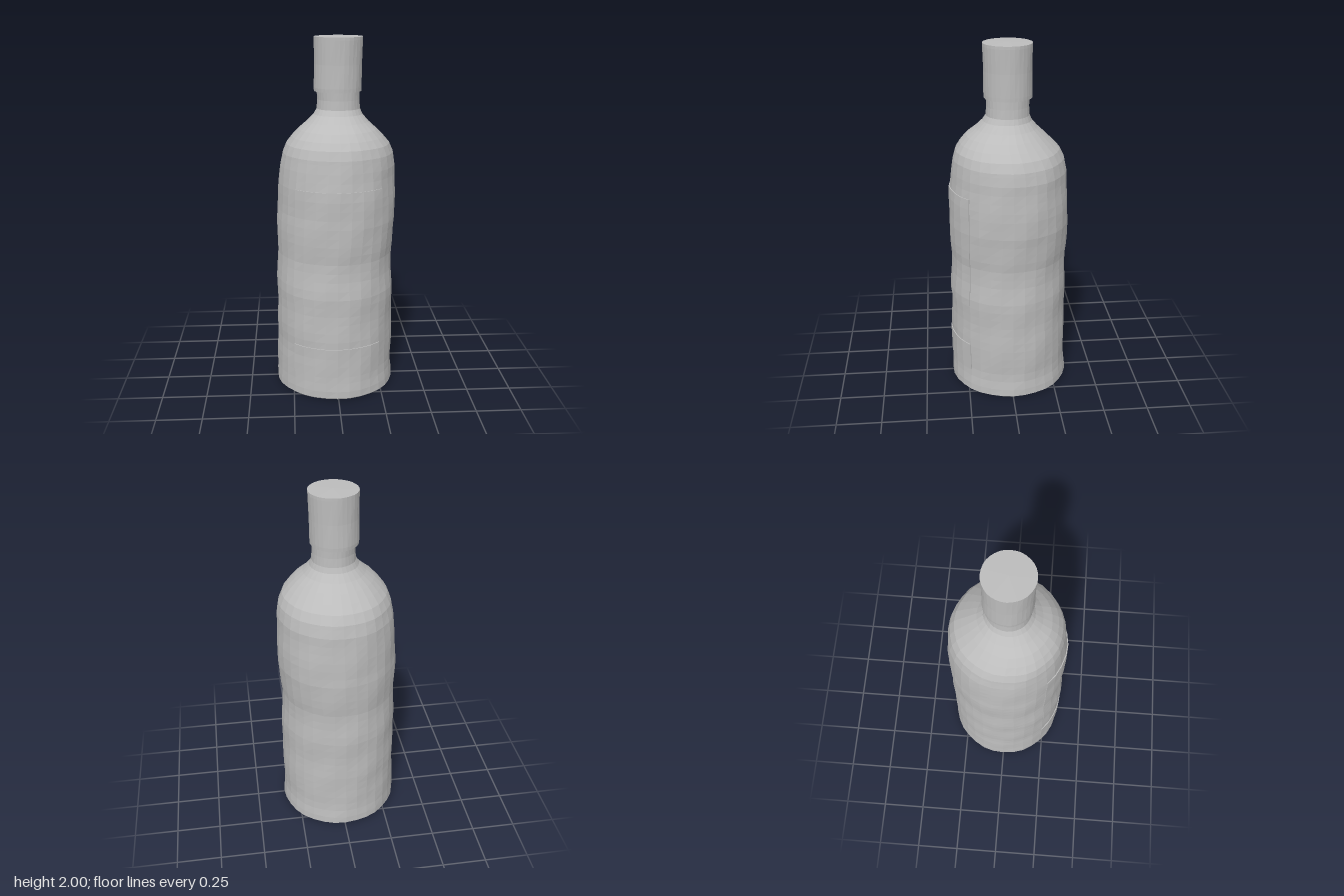
import * as THREE from 'three';

const SIDES = 32;
const STEP = (Math.PI * 2) / SIDES;

// Profile rows: y, centre x, centre z, radius
const BODY = [
  [0.01, -0.006, -0.002, 0.34], [0.06, -0.006, -0.001, 0.338], [0.11, -0.006, 0, 0.334],
  [0.2, -0.006, 0, 0.337], [0.3, -0.005, 0.001, 0.334], [0.45, -0.006, 0.002, 0.334],
  [0.6, -0.006, 0.002, 0.333], [0.7, -0.006, 0, 0.328], [0.8, -0.006, -0.001, 0.325],
  [0.9, -0.001, -0.002, 0.33], [1.0, 0.004, -0.003, 0.336], [1.1, 0.005, -0.002, 0.332],
  [1.2, 0.007, 0, 0.327], [1.3, 0.009, -0.002, 0.322], [1.37, 0.009, 0.002, 0.308],
  [1.42, 0.01, 0.008, 0.286], [1.46, 0.01, 0.015, 0.254], [1.5, 0.01, 0.018, 0.217],
  [1.54, 0.011, 0.014, 0.172], [1.58, 0.013, 0.01, 0.135], [1.61, 0.015, 0.006, 0.12],
  [1.66, 0.015, 0.006, 0.116], [1.72, 0.013, 0.006, 0.117],
];

// Interpolated body row at a height
function rowAt(y) {
  let i = 0;
  while (i < BODY.length - 2 && BODY[i + 1][0] < y) i++;
  const a = BODY[i], b = BODY[i + 1];
  const t = (y - a[0]) / (b[0] - a[0]);
  return a.map((v, k) => THREE.MathUtils.lerp(v, b[k], t));
}

// Gentle hand-made unevenness, periodic around the bottle: ripples and slanting dents
function wobble(angle, y) {
  return 0.002 * Math.sin(23 * y + Math.sin(angle)) + 0.0015 * Math.sin(3 * angle + 7 * y)
    + 0.0015 * Math.sin(9 * angle - 14 * y);
}

// Faceted skin through the rows, from column c0 to column c1
function skin(rows, c0, c1, place) {
  const pos = [], index = [], w = c1 - c0 + 1;
  rows.forEach((row, i) => {
    for (let c = c0; c <= c1; c++) pos.push(...place(row, c, i));
  });
  for (let i = 0; i < rows.length - 1; i++) {
    for (let j = 0; j < w - 1; j++) {
      const a = i * w + j, b = a + 1, d = a + w, e = d + 1;
      index.push(a, b, e, a, e, d);
    }
  }
  const indexed = new THREE.BufferGeometry();
  indexed.setAttribute('position', new THREE.Float32BufferAttribute(pos, 3));
  indexed.setIndex(index);
  const geo = indexed.toNonIndexed();
  geo.computeVertexNormals();
  return geo;
}

function point([y, cx, cz, r], angle, extra) {
  const s = r + extra;
  return [cx + s * Math.sin(angle), y, cz + s * Math.cos(angle)];
}

// Full turn of rows with wobble scaled to the radius
function turned(rows) {
  return skin(rows, 0, SIDES, (row, c) => {
    const angle = (c % SIDES) * STEP;
    return point(row, angle, wobble(angle, row[0]) * row[3] / 0.33);
  });
}

// Raised label wrapped on the front, its rim folded back to the glass
function label(y0, y1, half) {
  const ys = [y0, y0];
  for (let y = Math.ceil((y0 + 0.01) / 0.05) * 0.05; y < y1 - 0.01; y += 0.05) ys.push(y);
  ys.push(y1, y1);
  const n = ys.length;
  return skin(ys.map(rowAt), -half - 1, half + 1, (row, c, i) => {
    const rim = i === 0 || i === n - 1 || Math.abs(c) > half;
    const angle = THREE.MathUtils.clamp(c, -half, half) * STEP;
    return point(row, angle, wobble(angle, row[0]) + (rim ? -0.003 : 0.005));
  });
}

export function createModel() {
  const model = new THREE.Group();
  model.name = 'bottle';
  const grey = new THREE.MeshStandardMaterial({ color: 0xbcbcbc });
  grey.name = 'plain grey';

  const add = (name, geo) => {
    const mesh = new THREE.Mesh(geo, grey);
    mesh.name = name;
    model.add(mesh);
  };

  // Slightly hollowed underside
  add('base', turned([
    [0.035, -0.006, -0.002, 0], [0.033, -0.006, -0.002, 0.14], [0.028, -0.006, -0.002, 0.25],
    [0.018, -0.006, -0.002, 0.3], [0, -0.006, -0.002, 0.328], BODY[0],
  ]));

  // Body, shoulder and neck in even rows
  const rows = [BODY[0]];
  for (let k = 1; k <= 27; k++) rows.push(rowAt(k * 0.05));
  rows.push(...BODY.filter((r) => r[0] > 1.36));
  add('body', turned(rows));

  // Cap with a small lip over the neck and a flat top
  add('cap', turned([
    [1.71, 0.013, 0.006, 0.108], [1.705, 0.012, 0.004, 0.13], [1.725, 0.012, 0.004, 0.131],
    [1.85, 0.014, 0.005, 0.131], [1.98, 0.016, 0.006, 0.133], [1.996, 0.016, 0.006, 0.133],
    [1.997, 0.016, 0.006, 0.1], [2, 0.016, 0.006, 0],
  ]));

  // Front labels
  add('mainLabel', label(0.56, 1.205, 4));
  add('lowerLabel', label(0.14, 0.31, 4));

  return model;
}
